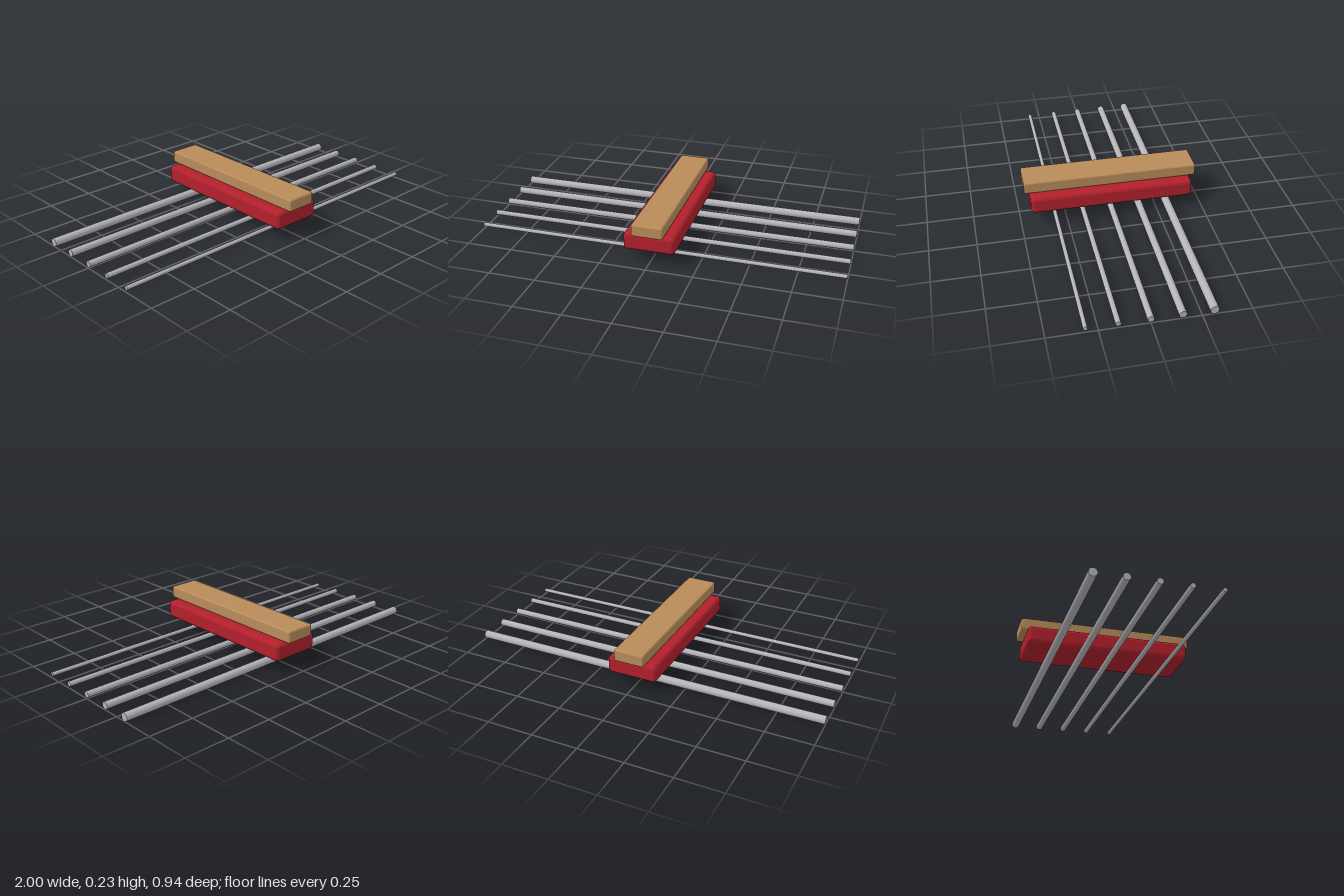
import * as THREE from 'three';
import { RoundedBoxGeometry } from 'three/addons/geometries/RoundedBoxGeometry.js';

function makeMaterial(name, color) {
  const material = new THREE.MeshStandardMaterial({ color });
  material.name = name;
  return material;
}

export function createModel() {
  const model = new THREE.Group();
  model.name = 'stringDamper';

  const steel = makeMaterial('steel', 0xb4b4b9);
  const felt = makeMaterial('red felt', 0xb2202c);
  const wood = makeMaterial('wood', 0xb88c5a);

  const add = (name, geometry, material, y, z = 0) => {
    const mesh = new THREE.Mesh(geometry, material);
    mesh.name = name;
    mesh.position.set(0, y, z);
    model.add(mesh);
  };

  // Five parallel strings, thicker towards the back
  for (let i = 0; i < 5; i++) {
    const radius = 0.022 - i * 0.0028;
    const string = new THREE.CylinderGeometry(radius, radius, 2, 20);
    string.rotateZ(Math.PI / 2);
    add(`string${i + 1}`, string, steel, 0.023, -0.311 + i * 0.1555);
  }

  // Soft felt pad above the strings
  add('feltPad', new RoundedBoxGeometry(0.276, 0.098, 0.886, 4, 0.022), felt, 0.119);

  // Wooden bar resting on the pad
  add('woodenBar', new RoundedBoxGeometry(0.167, 0.067, 0.944, 3, 0.01), wood, 0.2015);

  return model;
}
